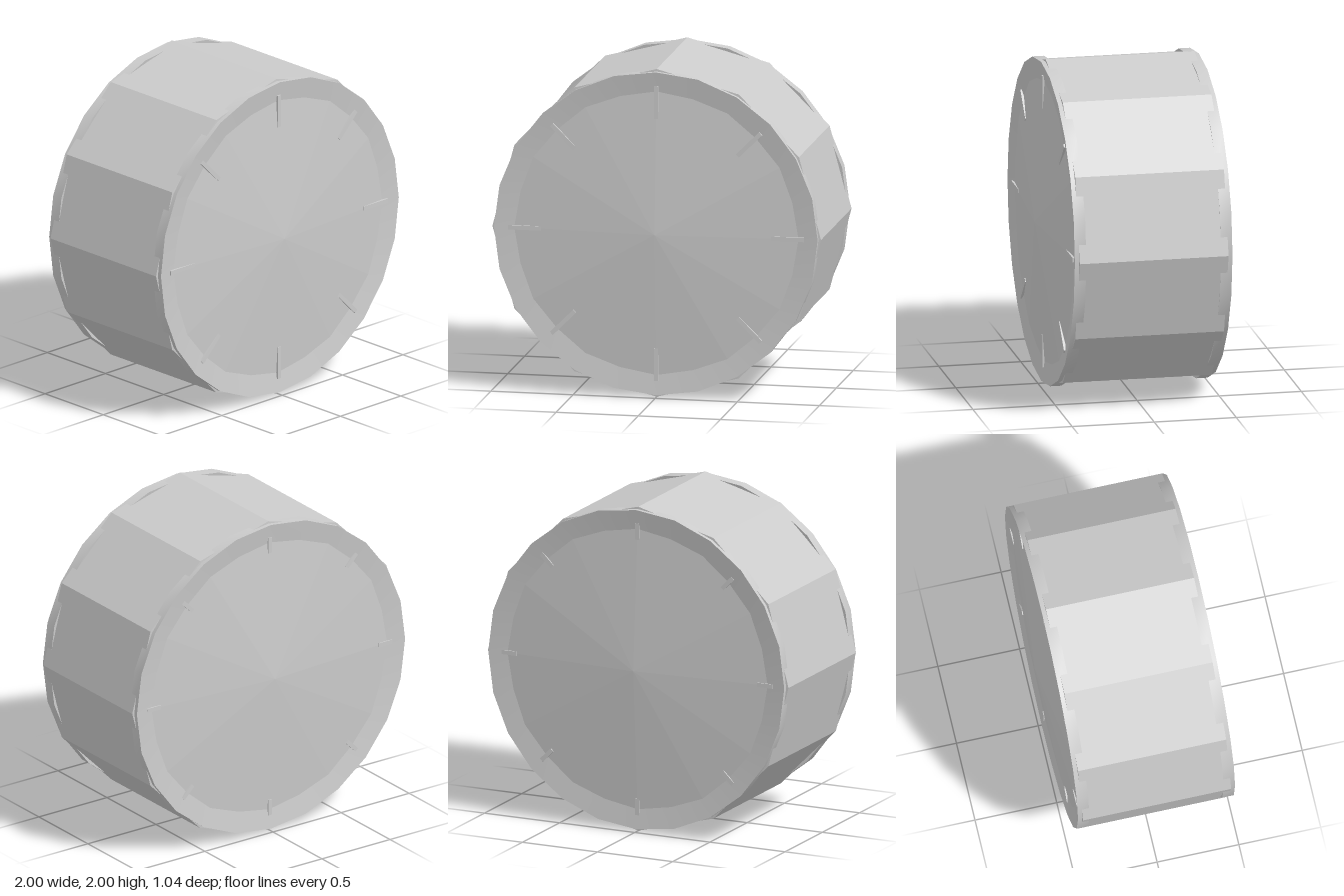
import * as THREE from 'three';
import { toCreasedNormals } from 'three/addons/utils/BufferGeometryUtils.js';

const flat = new THREE.MeshStandardMaterial({ color: 0xcccccc, flatShading: true });
const smooth = new THREE.MeshStandardMaterial({ color: 0xcccccc });

// Profile of [radius, z] pairs turned around the drum's z axis
function turned(profile, sides) {
  const points = profile.map(([r, z]) => new THREE.Vector2(r, z));
  return new THREE.LatheGeometry(points, sides).rotateX(Math.PI / 2);
}

function add(parent, name, geometry, material) {
  const mesh = new THREE.Mesh(geometry, material);
  mesh.name = name;
  parent.add(mesh);
  return mesh;
}

export function createModel() {
  const model = new THREE.Group();
  model.name = 'drum';
  const body = new THREE.Group();
  body.name = 'drumBody';
  body.position.y = 1;
  model.add(body);

  // Twelve-sided shell with shallow pointed heads
  add(body, 'shellAndHeads', turned([[0, -0.521], [1, -0.453], [1, 0.453], [0, 0.521]], 12), flat);

  // Hoops: outer band with a face sloping in towards the head
  const hoop = toCreasedNormals(
    turned([[0.985, 0.41], [0.985, 0.48], [0.75, 0.445], [0.985, 0.41]], 24), 0.5);
  add(body, 'frontHoop', hoop, smooth);
  add(body, 'backHoop', hoop, smooth).rotation.y = Math.PI;

  // Eight thin clips on each head, just rising above the surface
  const ends = [
    { name: 'frontClip', turn: 0, inner: 0.7, top: 0.476 },
    { name: 'backClip', turn: Math.PI, inner: 0.8, top: 0.471 },
  ];
  for (const { name, turn, inner, top } of ends) {
    const ring = new THREE.Group();
    ring.name = name + 's';
    ring.rotation.y = turn;
    body.add(ring);
    const clip = new THREE.BoxGeometry(0.9 - inner, 0.026, 0.06)
      .translate((0.9 + inner) / 2, 0, top - 0.03);
    for (let i = 0; i < 8; i++) {
      add(ring, name, clip, flat).rotation.z = (i * Math.PI) / 4;
    }
  }
  return model;
}
